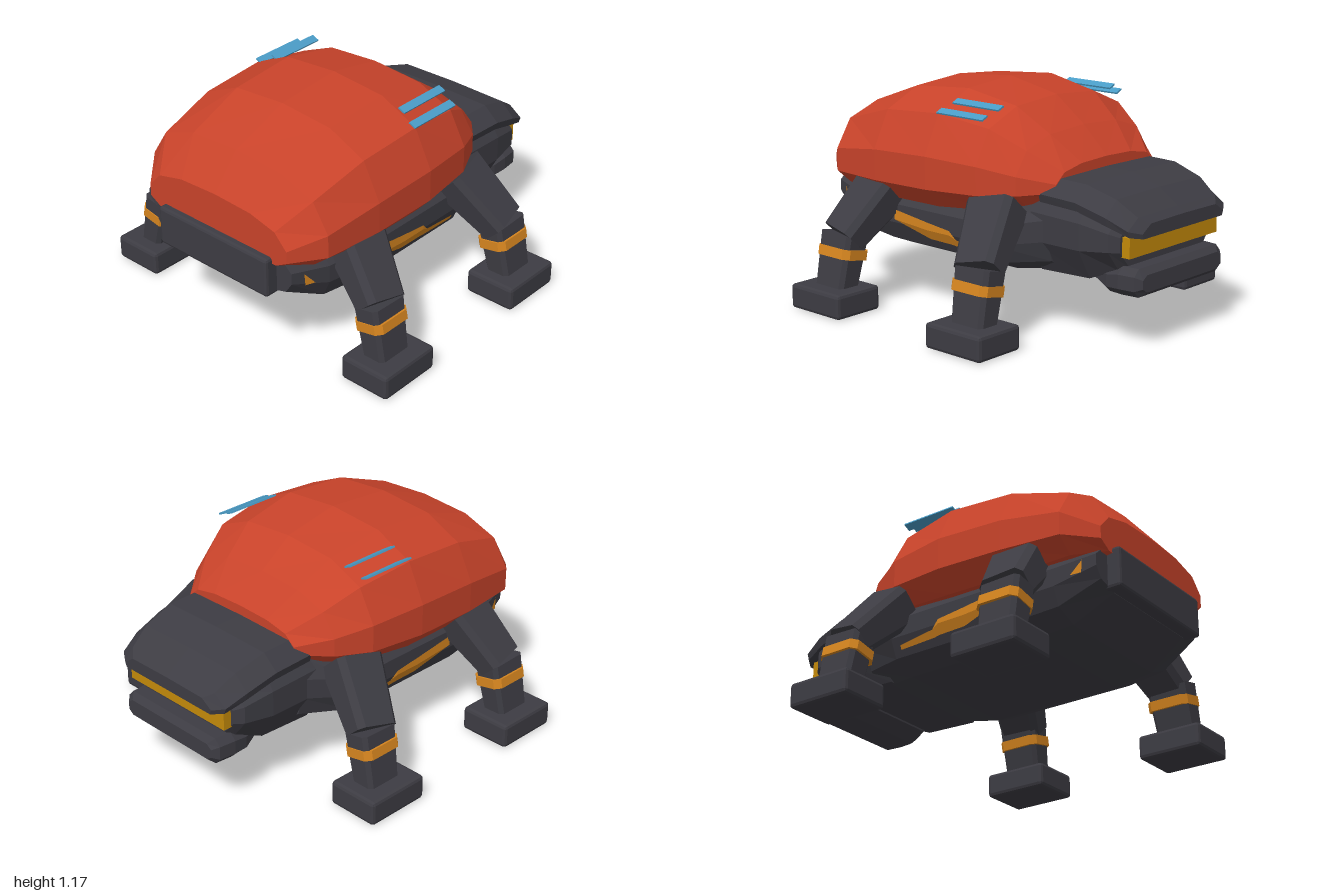
import * as THREE from 'three';
import { RoundedBoxGeometry } from 'three/addons/geometries/RoundedBoxGeometry.js';

const material = (name, color, side = THREE.FrontSide) =>
  Object.assign(new THREE.MeshStandardMaterial({ color, side, flatShading: true }), { name });

// Faceted skin over a series of matching rings, closed at both ends
function skin(rings) {
  const n = rings[0].length, pos = rings.flat().flatMap(p => [p.x, p.y, p.z]), idx = [];
  for (let i = 0; i < rings.length - 1; i++) {
    for (let k = 0; k < n; k++) {
      const a = i * n + k, b = i * n + (k + 1) % n;
      idx.push(a, b, b + n, a, b + n, a + n);
    }
  }
  const last = (rings.length - 1) * n;
  for (let k = 1; k < n - 1; k++) idx.push(0, k + 1, k, last, last + k, last + k + 1);
  return faceted(pos, idx);
}

function faceted(pos, idx) {
  let g = new THREE.BufferGeometry();
  g.setAttribute('position', new THREE.Float32BufferAttribute(pos, 3));
  g.setIndex(idx);
  g = g.toNonIndexed();
  g.computeVertexNormals();
  return g;
}

// Symmetric body: stations are [z, half width, bottom, top] from +z to -z,
// the profile is [share of width, share of height] from top to bottom
function loft(stations, profile) {
  const mirrored = profile.filter(p => p[0] > 0).reverse().map(([u, v]) => [-u, v]);
  const full = [...profile, ...mirrored];
  return skin(stations.map(([z, w, b, t]) =>
    full.map(([u, v]) => new THREE.Vector3(u * w, b + v * (t - b), z))));
}

// Tapered limb with chamfered corners; sizes are [depth along z, thickness]
function limb(from, to, size0, size1, c = 0.03) {
  const dir = to.clone().sub(from).normalize();
  const v = dir.clone().negate().cross(new THREE.Vector3(0, 0, 1)).normalize();
  const u = v.clone().cross(dir.clone().negate());
  const ring = (centre, [d, t]) => {
    const x = d / 2, y = t / 2;
    return [[-x + c, y], [x - c, y], [x, y - c], [x, -y + c],
      [x - c, -y], [-x + c, -y], [-x, -y + c], [-x, y - c]].map(([p, q]) =>
      centre.clone().addScaledVector(u, p).addScaledVector(v, q));
  };
  return skin([ring(from, size0), ring(to, size1)]);
}

function chamferBox(w, h, d, r = 0.015) {
  const g = new RoundedBoxGeometry(w, h, d, 1, r);
  g.computeVertexNormals();
  return g;
}

export function createModel() {
  const model = new THREE.Group();
  const red = material('shell red', 0xc8432a);
  const dark = material('charcoal', 0x3d3c43);
  const orange = material('orange', 0xd6851f, THREE.DoubleSide);
  const yellow = material('amber', 0xc48a0a);
  const blue = material('vent blue', 0x4a9cc6);

  const add = (name, geometry, mat, x = 0, y = 0, z = 0, parent = model) => {
    const mesh = new THREE.Mesh(geometry, mat);
    mesh.name = name;
    mesh.position.set(x, y, z);
    parent.add(mesh);
    return mesh;
  };

  // Domed shell
  add('shell', loft([
    [0.96, 0.46, 0.61, 0.84], [0.81, 0.585, 0.59, 1.02], [0.49, 0.62, 0.57, 1.14],
    [0.12, 0.628, 0.575, 1.17], [-0.19, 0.59, 0.6, 1.11], [-0.37, 0.505, 0.64, 0.98],
    [-0.52, 0.38, 0.69, 0.84],
  ], [[0, 1], [0.5, 0.957], [0.84, 0.79], [1, 0.45], [1, 0.17], [0.85, 0]]), red);

  // Lower hull
  add('hull', loft([
    [0.93, 0.46, 0.43, 0.64], [0.72, 0.51, 0.31, 0.64], [0.5, 0.53, 0.29, 0.64],
    [-0.25, 0.53, 0.29, 0.64], [-0.5, 0.42, 0.32, 0.7],
  ], [[0.85, 1], [1, 0.7], [1, 0.42], [0.92, 0.15], [0.68, 0]]), dark);
  add('rearBumper', chamferBox(0.73, 0.21, 0.1), dark, 0, 0.537, 0.95);

  // Head, brow plate, visor and jaw
  add('head', loft([
    [-0.4, 0.43, 0.31, 0.72], [-0.7, 0.425, 0.32, 0.7], [-0.86, 0.4, 0.385, 0.64],
    [-0.9, 0.36, 0.4, 0.61],
  ], [[0.85, 1], [1, 0.75], [1, 0.4], [0.8, 0]]), dark);
  add('browPlate', loft([
    [-0.45, 0.43, 0.67, 0.79], [-0.68, 0.43, 0.66, 0.785], [-0.85, 0.41, 0.61, 0.735],
    [-0.96, 0.38, 0.57, 0.66], [-1, 0.32, 0.56, 0.63],
  ], [[0, 1], [0.8, 0.95], [1, 0.35], [0.97, 0]]), dark);
  add('visor', new THREE.BoxGeometry(0.69, 0.1, 0.06), yellow, 0, 0.51, -0.915);
  add('jaw', loft([
    [-0.7, 0.3, 0.31, 0.36], [-0.8, 0.34, 0.27, 0.39], [-0.88, 0.35, 0.27, 0.41],
    [-0.97, 0.34, 0.27, 0.41], [-1, 0.31, 0.295, 0.38],
  ], [[0.9, 1], [1, 0.75], [1, 0.25], [0.9, 0]]), dark);

  // Upper and lower edges of the side stripe: [z, top, bottom]
  const edge = [[0.44, 0.508, 0.455], [0.2, 0.477, 0.388], [0.05, 0.46, 0.385],
    [0.01, 0.418, 0.38], [-0.2, 0.395, 0.373]];
  const hullX = y => (y > 0.437 ? 0.53 : 0.53 - 0.0424 * (0.437 - y) / 0.0945) + 0.006;

  for (const s of [1, -1]) {
    const side = s > 0 ? 'left' : 'right';

    // Side stripe hugging the hull
    const pos = [], idx = [];
    edge.forEach(([z, top, low], i) => {
      const mid = Math.min(top, Math.max(low, 0.437));
      for (const y of [top, mid, low]) pos.push(s * hullX(y), y, z);
      if (i < edge.length - 1) {
        for (const a of [3 * i, 3 * i + 1]) idx.push(a, a + 1, a + 4, a, a + 4, a + 3);
      }
    });
    add(side + 'Stripe', faceted(pos, s > 0 ? idx : idx.reverse()), orange);

    // Small triangular rear mark
    const mark = [[0.865, 0.555], [0.86, 0.49], [0.805, 0.485]].flatMap(([z, y]) =>
      [s * (0.467 + 0.05 * (0.93 - z) / 0.21), y, z]);
    add(side + 'RearMark', faceted(mark, s > 0 ? [0, 1, 2] : [2, 1, 0]), orange);

    // Vent slats, all tilted the same way
    for (const [x, y, z] of [[0.425, 1.095, -0.05], [0.513, 1.055, -0.025]]) {
      add(side + 'Vent', new THREE.BoxGeometry(0.043, 0.009, 0.31), blue, s * x, y, z)
        .rotation.z = -0.42;
    }

    // Legs, mirrored front to back about the middle of the hull
    for (const [end, footZ, hipZ] of [['front', -0.355, -0.25], ['rear', 0.62, 0.535]]) {
      const leg = new THREE.Group();
      leg.name = side + end[0].toUpperCase() + end.slice(1) + 'Leg';
      model.add(leg);
      const kneeZ = footZ + Math.sign(hipZ - footZ) * 0.01;
      const at = (x, y, z) => new THREE.Vector3(s * x, y, z);
      add('thigh', limb(at(0.5, 0.625, hipZ), at(0.735, 0.375, kneeZ),
        [0.27, 0.21], [0.23, 0.16]), dark, 0, 0, 0, leg);
      add('shin', limb(at(0.725, 0.385, kneeZ), at(0.785, 0.1, footZ),
        [0.225, 0.15], [0.205, 0.13], 0.02), dark, 0, 0, 0, leg);
      add('kneeBand', limb(at(0.737, 0.318, kneeZ), at(0.747, 0.268, kneeZ),
        [0.235, 0.175], [0.235, 0.175], 0.03), orange, 0, 0, 0, leg);
      add('foot', chamferBox(0.285, 0.13, 0.36, 0.018), dark, s * 0.793, 0.065, footZ, leg);
    }
  }
  return model;
}
